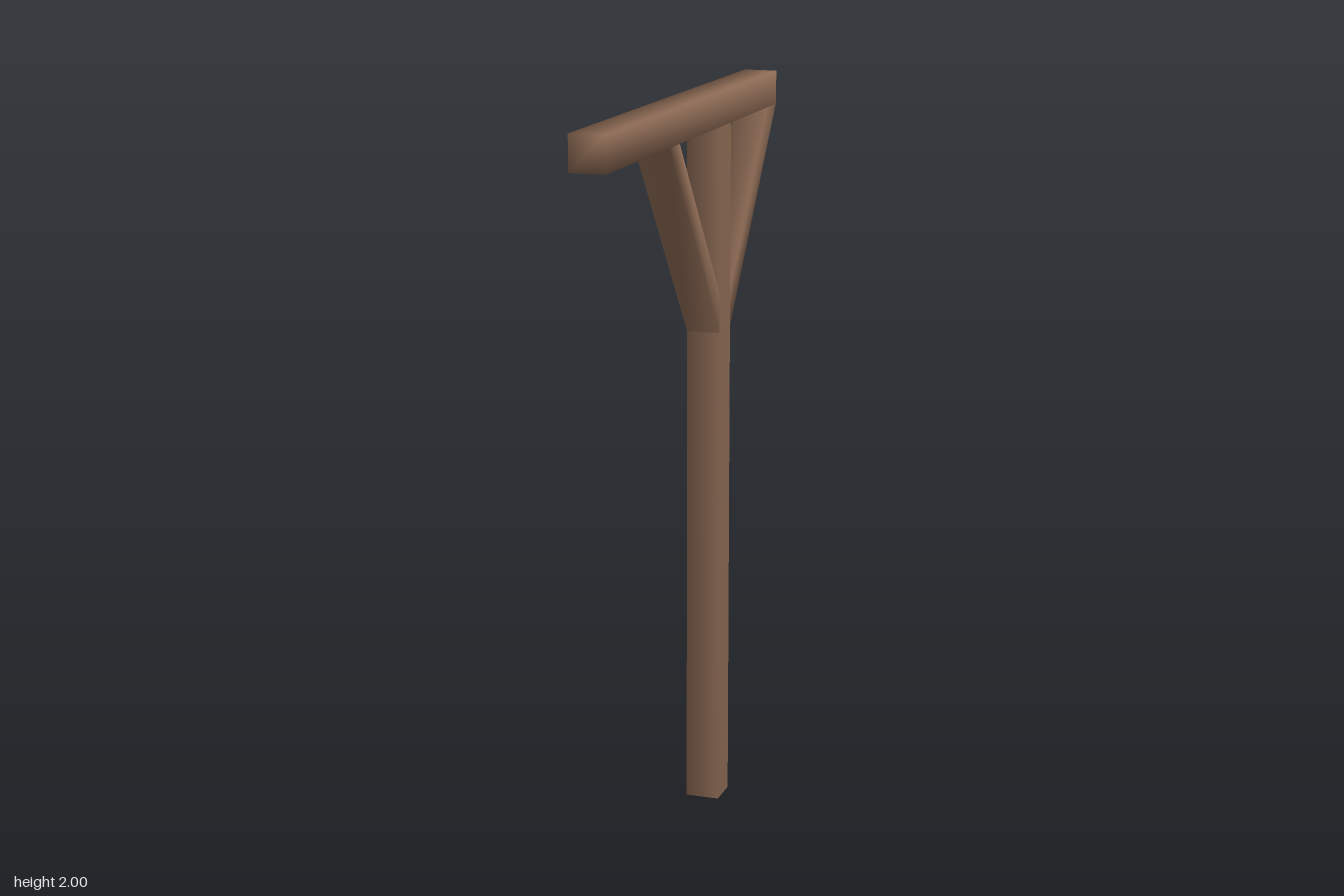
import * as THREE from 'three';
import { mergeVertices } from 'three/addons/utils/BufferGeometryUtils.js';

const WIDTH = 0.093;      // timber thickness
const POST_Z = -0.229;    // centre line of the post
const HALF = WIDTH / 2;
const BEAM_Y = 2 - WIDTH; // underside of the beam

// A timber cut from a (z, y) outline, with normals shared across its edges
function timber(name, outline, material) {
  const shape = new THREE.Shape(outline.map(([z, y]) => new THREE.Vector2(z, y)));
  let geometry = new THREE.ExtrudeGeometry(shape, { depth: WIDTH, bevelEnabled: false });
  geometry.translate(0, 0, -HALF).rotateY(-Math.PI / 2);
  geometry.deleteAttribute('normal');
  geometry.deleteAttribute('uv');
  geometry = mergeVertices(geometry);
  geometry.computeVertexNormals();
  const mesh = new THREE.Mesh(geometry, material);
  mesh.name = name;
  return mesh;
}

export function createModel() {
  const group = new THREE.Group();
  group.name = 'woodenPost';
  const wood = new THREE.MeshStandardMaterial({ color: 0x8c6a54 });
  wood.name = 'brown wood';

  // Upright post
  group.add(timber('post', [
    [POST_Z - HALF, 0], [POST_Z + HALF, 0],
    [POST_Z + HALF, BEAM_Y], [POST_Z - HALF, BEAM_Y],
  ], wood));

  // Horizontal beam, reaching further to the front
  group.add(timber('beam', [[-0.7, BEAM_Y], [0.7, BEAM_Y], [0.7, 2], [-0.7, 2]], wood));

  // Mirrored diagonal braces, mitred against post and beam
  for (const [name, side] of [['frontBrace', 1], ['backBrace', -1]]) {
    const outline = [[HALF, 1.35], [0.468, BEAM_Y], [0.383, BEAM_Y], [HALF, 1.457]];
    group.add(timber(name, outline.map(([d, y]) => [POST_Z + side * d, y]), wood));
  }
  return group;
}
